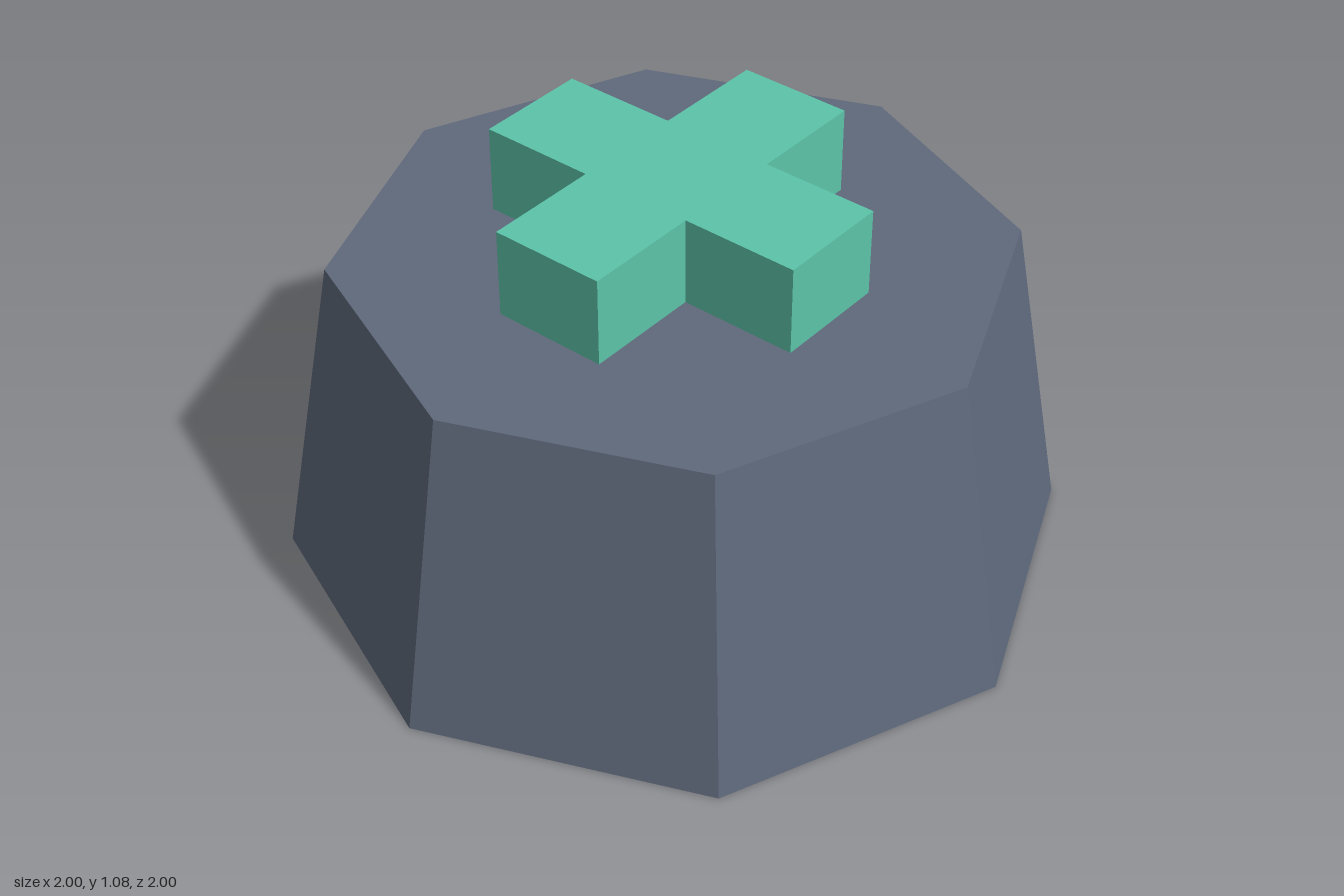
import * as THREE from 'three';

export function createModel() {
  const group = new THREE.Group();
  const slate = new THREE.MeshStandardMaterial({ name: 'slate', color: 0x5f697c, flatShading: true });
  const mint = new THREE.MeshStandardMaterial({ name: 'mint green', color: 0x5cc4a9, flatShading: true });

  // Tapered octagonal base, corners on the axes
  const baseHeight = 0.846;
  const base = new THREE.Mesh(new THREE.CylinderGeometry(0.846, 1, baseHeight, 8), slate);
  base.name = 'base';
  base.position.y = baseHeight / 2;
  group.add(base);

  // Raised plus sign: one arm corner pattern turned through four quarters
  const reach = 0.462, half = 0.152, crossHeight = 0.232;
  const outline = [];
  for (let i = 0; i < 4; i++) {
    for (const [x, y] of [[reach, -half], [reach, half], [half, half]]) {
      outline.push(new THREE.Vector2(x, y).rotateAround(new THREE.Vector2(), i * Math.PI / 2));
    }
  }
  const crossGeometry = new THREE.ExtrudeGeometry(new THREE.Shape(outline), { depth: crossHeight, bevelEnabled: false });
  crossGeometry.rotateX(-Math.PI / 2);
  const cross = new THREE.Mesh(crossGeometry, mint);
  cross.name = 'raisedCross';
  cross.position.y = baseHeight;
  group.add(cross);

  return group;
}
